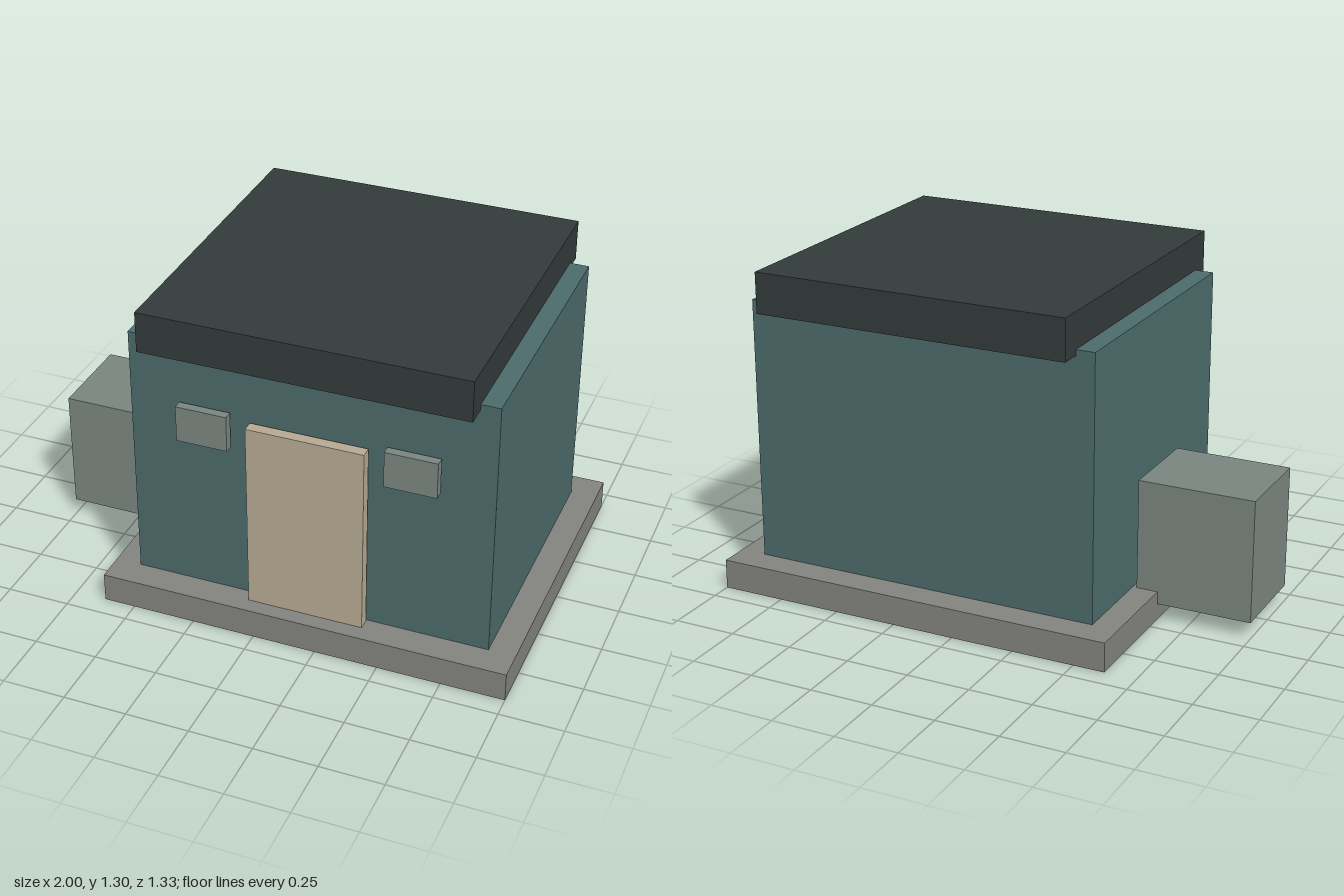
import * as THREE from 'three';

export function createModel() {
  const model = new THREE.Group();
  const mat = (color) => new THREE.MeshStandardMaterial({ color });
  const concrete = mat(0x82827e);
  const teal = mat(0x4b6b6a);
  const slate = mat(0x333a3a);
  const tan = mat(0xb5a992);
  const metal = mat(0x7a857f);

  // Box given by its extents along each axis
  function block(name, material, [x0, x1], [y0, y1], [z0, z1]) {
    const mesh = new THREE.Mesh(new THREE.BoxGeometry(x1 - x0, y1 - y0, z1 - z0), material);
    mesh.position.set((x0 + x1) / 2, (y0 + y1) / 2, (z0 + z1) / 2);
    mesh.name = name;
    model.add(mesh);
  }

  // Building shell
  block('foundation', concrete, [-0.625, 1], [0, 0.117], [-0.667, 0.667]);
  block('walls', teal, [-0.523, 0.895], [0.117, 1.163], [-0.552, 0.552]);
  block('roof', slate, [-0.448, 0.82], [1.14, 1.302], [-0.637, 0.637]);

  // Front panels, standing just clear of the wall
  block('door', tan, [-0.043, 0.416], [0.117, 0.887], [0.559, 0.604]);
  for (const [name, x] of [['rightWindow', -0.219], ['leftWindow', 0.591]]) {
    block(name, metal, [x - 0.101, x + 0.101], [0.771, 0.917], [0.566, 0.602]);
  }

  // Utility unit beside the right wall
  block('utilityBox', metal, [-1, -0.539], [0.067, 0.555], [-0.186, 0.186]);

  return model;
}
